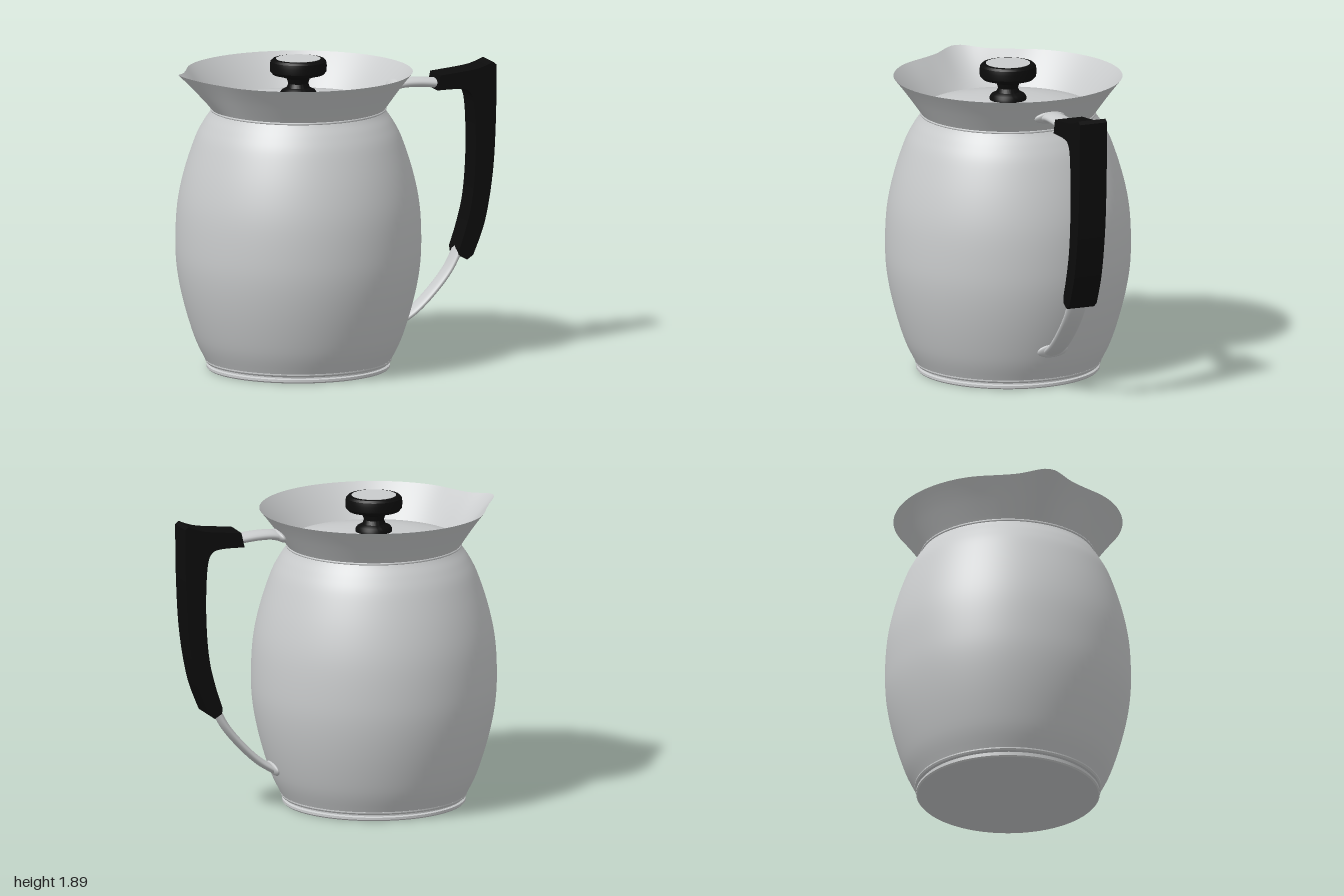
import * as THREE from 'three';
import { mergeVertices, toCreasedNormals } from 'three/addons/utils/BufferGeometryUtils.js';

const AXIS_X = -0.24; // centre line of the pot

export function createModel() {
  const model = new THREE.Group();
  const steel = new THREE.MeshStandardMaterial({ color: 0xc9cbcc, side: THREE.DoubleSide });
  steel.name = 'brushed steel';
  const black = new THREE.MeshStandardMaterial({ color: 0x0c0c0c });
  black.name = 'black plastic';

  const add = (name, geometry, material, x = 0, y = 0, z = 0) => {
    const mesh = new THREE.Mesh(geometry, material);
    mesh.name = name;
    mesh.position.set(x, y, z);
    model.add(mesh);
    return mesh;
  };
  const vectors = (pts) => pts.map(([x, y]) => new THREE.Vector2(x, y));
  const lathe = (pts, segments = 96) => new THREE.LatheGeometry(vectors(pts), segments);
  const creased = (geometry, angle = 0.6) => toCreasedNormals(geometry, angle);

  // Barrel-shaped body
  const bodyCurve = new THREE.SplineCurve(vectors([
    [0.56, 0.055], [0.625, 0.19], [0.69, 0.4], [0.73, 0.6], [0.741, 0.78], [0.73, 1.0],
    [0.69, 1.2], [0.625, 1.4], [0.575, 1.5], [0.535, 1.56], [0.52, 1.585],
  ]));
  add('body', new THREE.LatheGeometry(bodyCurve.getPoints(48), 96), steel, AXIS_X);

  // Stepped foot with closed underside
  add('foot', creased(lathe([
    [0, 0], [0.545, 0], [0.553, 0.008], [0.553, 0.022], [0.54, 0.028], [0.54, 0.036],
    [0.555, 0.04], [0.562, 0.05], [0.562, 0.058], [0.55, 0.062],
  ])), steel, AXIS_X);

  // Bead at the neck
  const bead = add('neckBead', new THREE.TorusGeometry(0.523, 0.008, 8, 96), steel, AXIS_X, 1.585);
  bead.rotation.x = Math.PI / 2;

  // Flared collar, pulled out into a pouring lip on the -x side
  const collarCurve = new THREE.SplineCurve(vectors([
    [0.52, 1.582], [0.535, 1.605], [0.603, 1.7], [0.65, 1.762], [0.69, 1.812],
  ]));
  let collar = new THREE.LatheGeometry(collarCurve.getPoints(20), 144);
  const pos = collar.attributes.position;
  for (let i = 0; i < pos.count; i++) {
    const x = pos.getX(i), y = pos.getY(i), z = pos.getZ(i);
    const angle = Math.abs(Math.atan2(z, -x));
    const t = Math.max(0, (y - 1.582) / 0.23);
    const lip = Math.exp(-((angle / 0.17) ** 2));
    const dent = Math.exp(-(((angle - 0.45) / 0.18) ** 2));
    const k = 1 + t * (0.105 * lip - 0.018 * dent);
    pos.setXYZ(i, x * k, y + 0.02 * lip * t * t, z * k);
  }
  collar.deleteAttribute('uv');
  collar.deleteAttribute('normal');
  collar = mergeVertices(collar, 1e-4);
  collar.computeVertexNormals();
  add('collar', collar, steel, AXIS_X);

  // Shallow domed lid
  add('lid', creased(lathe([
    [0.515, 1.595], [0.515, 1.612], [0.505, 1.62], [0.42, 1.628], [0.38, 1.64],
    [0.25, 1.658], [0.12, 1.667], [0, 1.67],
  ])), steel, AXIS_X);

  // Knob: flared base, waist and wide cap with an inset disc
  add('knob', creased(lathe([
    [0.11, 1.66], [0.11, 1.685], [0.1, 1.7], [0.07, 1.715], [0.06, 1.74], [0.07, 1.77],
    [0.12, 1.79], [0.155, 1.797], [0.17, 1.815], [0.172, 1.85], [0.168, 1.875],
    [0.155, 1.888], [0.135, 1.89], [0, 1.888],
  ], 64)), black, AXIS_X);
  add('knobDisc', new THREE.CylinderGeometry(0.134, 0.134, 0.006, 64), steel, AXIS_X, 1.889);

  // Flattened steel straps joining the grip to the pot
  const strap = (name, pts, radius, halfWidth) => {
    const path = new THREE.CatmullRomCurve3(pts.map(([x, y]) => new THREE.Vector3(x, y, 0)));
    add(name, new THREE.TubeGeometry(path, 32, radius, 20), steel).scale.z = halfWidth / radius;
  };
  strap('upperStrap', [[0.36, 1.685], [0.42, 1.699], [0.52, 1.7], [0.67, 1.685]], 0.03, 0.065);
  strap('lowerStrap', [[0.4, 0.24], [0.5, 0.305], [0.62, 0.42], [0.72, 0.545], [0.8, 0.7]], 0.024, 0.065);

  // Oval mounting pads lying along the walls
  const pad = (name, x, y, thick, half, tilt) => {
    const mesh = add(name, new THREE.SphereGeometry(1, 32, 20), steel, x, y);
    mesh.scale.set(thick, half, 0.1);
    mesh.rotation.z = tilt;
  };
  pad('upperPad', 0.368, 1.688, 0.024, 0.045, -0.62);
  pad('lowerPad', 0.407, 0.25, 0.02, 0.045, -0.35);

  // Black grip with a flat cross-section
  const grip = new THREE.Shape();
  grip.moveTo(0.62, 1.655);
  grip.splineThru(vectors([[0.76, 1.655], [0.825, 1.635], [0.855, 1.56], [0.866, 1.35],
    [0.86, 1.13], [0.84, 0.95], [0.8, 0.79], [0.76, 0.67]]));
  grip.lineTo(0.765, 0.635);
  grip.lineTo(0.81, 0.607);
  grip.lineTo(0.85, 0.635);
  grip.splineThru(vectors([[0.925, 0.84], [0.975, 1.13], [0.995, 1.455], [1, 1.79]]));
  grip.lineTo(0.978, 1.808);
  grip.splineThru(vectors([[0.93, 1.788], [0.865, 1.77], [0.76, 1.757], [0.64, 1.745]]));
  grip.closePath();
  const gripGeometry = new THREE.ExtrudeGeometry(grip, { depth: 0.18, bevelEnabled: false, curveSegments: 24 });
  add('grip', creased(gripGeometry), black, 0, 0, -0.09);

  return model;
}
